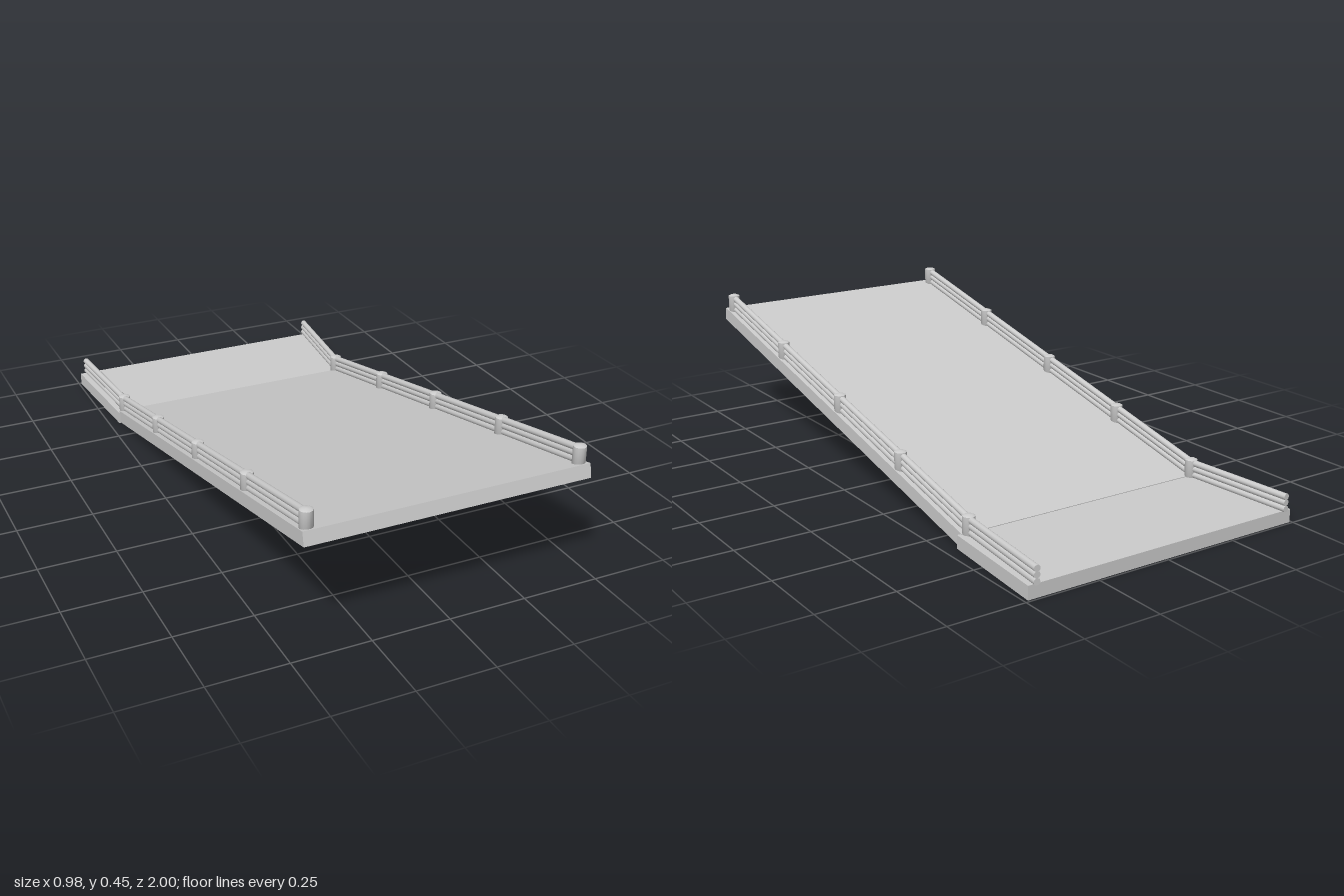
import * as THREE from 'three';

const material = new THREE.MeshStandardMaterial({ color: 0xcccccc });

function addMesh(parent, name, geometry) {
  const mesh = new THREE.Mesh(geometry, material);
  mesh.name = name;
  parent.add(mesh);
  return mesh;
}

// Round rail between two points
function addRail(parent, name, a, b, radius) {
  const dir = new THREE.Vector3().subVectors(b, a);
  const rail = addMesh(parent, name, new THREE.CylinderGeometry(radius, radius, dir.length(), 12));
  rail.position.addVectors(a, b).multiplyScalar(0.5);
  rail.quaternion.setFromUnitVectors(new THREE.Vector3(0, 1, 0), dir.normalize());
}

export function createModel() {
  const model = new THREE.Group();
  model.name = 'ramp';

  const centerX = -0.007, halfWidth = 0.453, thickness = 0.044;
  const low = new THREE.Vector2(-0.6, 0.002), high = new THREE.Vector2(1, 0.356); // (z, y) of underside
  const slope = (high.y - low.y) / (high.x - low.x);
  const angle = Math.atan(slope);
  const deckY = z => low.y + (z - low.x) * slope + thickness / Math.cos(angle);

  // Sloping deck of abutting planks
  const deck = new THREE.Group();
  deck.name = 'slopingDeck';
  deck.position.set(centerX, low.y, low.x);
  deck.rotation.x = -angle;
  model.add(deck);
  const length = low.distanceTo(high), planks = 14, step = length / planks;
  for (let i = 0; i < planks; i++) {
    addMesh(deck, 'plank', new THREE.BoxGeometry(halfWidth * 2, thickness, step))
      .position.set(0, thickness / 2, (i + 0.5) * step);
  }

  // Flat landing that widens towards the back
  const outline = new THREE.Shape([
    new THREE.Vector2(-0.465, 0.6), new THREE.Vector2(0.457, 0.6),
    new THREE.Vector2(0.489, 0.993), new THREE.Vector2(-0.492, 0.993),
  ]);
  const landing = new THREE.ExtrudeGeometry(outline, { depth: 0.043, bevelEnabled: false });
  landing.rotateX(-Math.PI / 2);
  addMesh(model, 'landing', landing);

  // Post with a slightly domed top
  const postProfile = [[0, -0.008], [0.02, -0.008], [0.02, 0.055], [0.02, 0.055], [0.012, 0.059], [0, 0.06]]
    .map(([x, y]) => new THREE.Vector2(x, y));
  const postGeometry = new THREE.LatheGeometry(postProfile, 16);

  for (const side of [-1, 1]) {
    const railing = new THREE.Group();
    railing.name = side > 0 ? 'leftRailing' : 'rightRailing';
    model.add(railing);
    const x = centerX + side * 0.43;

    for (const z of [0.965, 0.56, 0.155, -0.23, -0.61]) {
      addMesh(railing, 'post', postGeometry).position.set(x, deckY(z), z);
    }

    // Three stacked rails on the slope and on the landing
    for (const h of [0.008, 0.028, 0.047]) {
      addRail(railing, 'slopeRail',
        new THREE.Vector3(x, deckY(0.965) + h, 0.965),
        new THREE.Vector3(x, deckY(-0.61) + h, -0.61), 0.0105);
      addRail(railing, 'landingRail',
        new THREE.Vector3(x, 0.043 + h, -0.61),
        new THREE.Vector3(side * 0.465, 0.043 + h, -1), 0.0105);
    }
  }
  return model;
}
